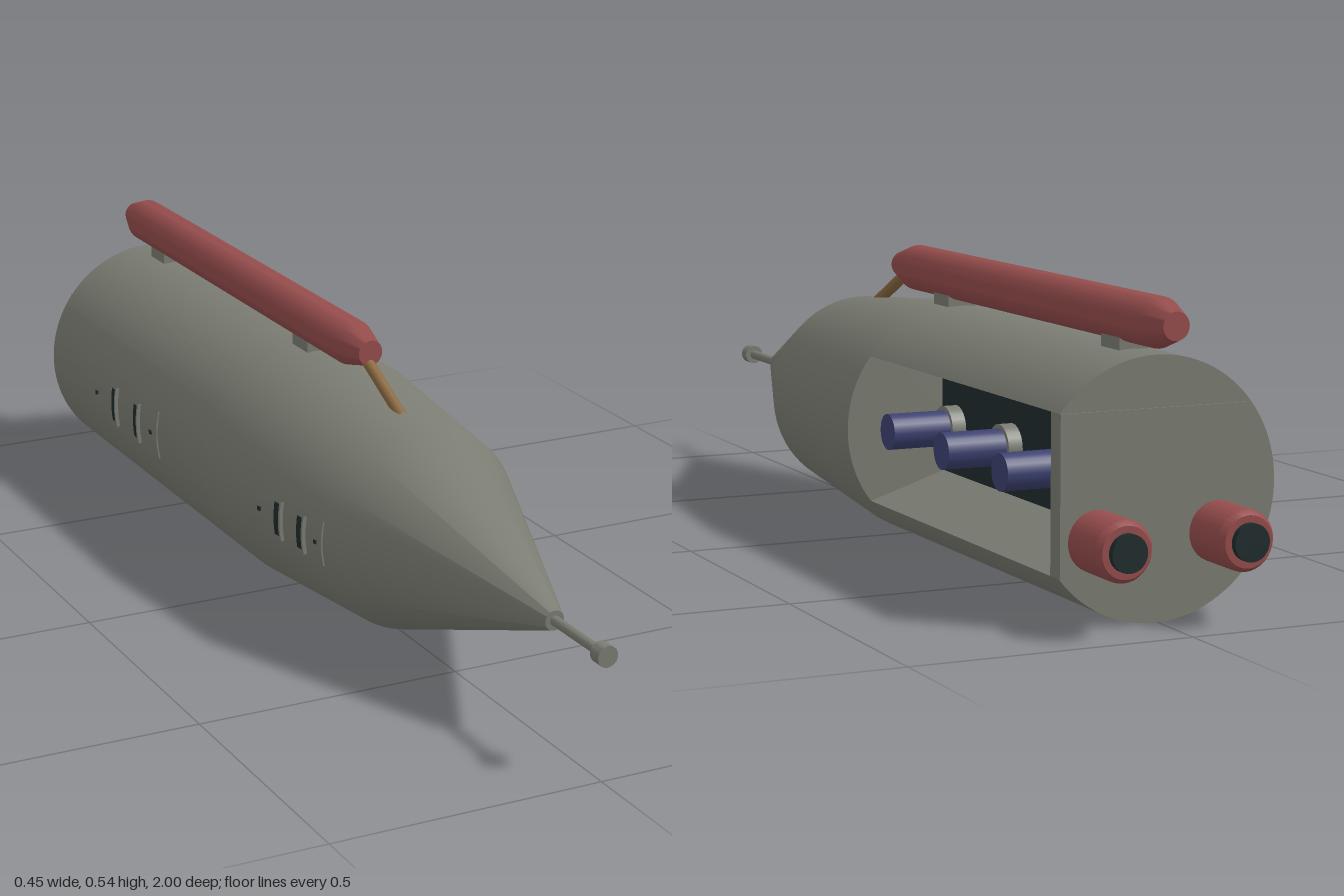
import * as THREE from 'three';
import { toCreasedNormals } from 'three/addons/utils/BufferGeometryUtils.js';

const mat = (name, color) => new THREE.MeshStandardMaterial({ name, color });

export function createModel() {
  const grey = mat('hull grey', 0x7a7c72);
  const red = mat('dull red', 0x954c4c);
  const blue = mat('deep blue', 0x3c4170);
  const dark = mat('dark panel', 0x1e2b2c);
  const brown = mat('brown pipe', 0x8a6840);

  const model = new THREE.Group();
  model.name = 'spacecraft';
  // everything is placed relative to the hull's long axis
  const craft = new THREE.Group();
  craft.name = 'craft';
  craft.position.set(0.005, 0.225, 0);
  model.add(craft);

  const add = (name, geometry, material, x = 0, y = 0, z = 0) => {
    const mesh = new THREE.Mesh(geometry, material);
    mesh.name = name;
    mesh.position.set(x, y, z);
    craft.add(mesh);
    return mesh;
  };
  // turned part along z; profile is [radius, z] with z ascending
  const turned = (profile, sides = 32, start = 0, arc = Math.PI * 2) => {
    const pts = profile.map(([r, z]) => new THREE.Vector2(r, z));
    return toCreasedNormals(new THREE.LatheGeometry(pts, sides, start, arc).rotateX(Math.PI / 2), 0.6);
  };
  const box = (w, h, d) => new THREE.BoxGeometry(w, h, d);

  const R = 0.222, cut = 0.654, chordX = R * Math.cos(cut), chordY = R * Math.sin(cut);
  const bayX = 0.025, bayY = 0.086, bayFront = -0.1, bayBack = -0.848, tail = -0.88;

  // nose and front hull
  add('frontHull', turned([[0, bayFront], [R, bayFront], [R, 0], [0.191, 0.36], [0.018, 0.83], [0, 0.83]], 96), grey);

  // rear hull with an open bay on the left side, closed by a bulkhead
  const section = (notched) => {
    const s = new THREE.Shape();
    s.absarc(0, 0, R, cut, Math.PI * 2 - cut, false);
    if (notched) {
      s.lineTo(bayX, -bayY);
      s.lineTo(bayX, bayY);
    }
    s.closePath();
    return s;
  };
  const slab = (shape, z0, z1) => toCreasedNormals(
    new THREE.ExtrudeGeometry(shape, { depth: z1 - z0, bevelEnabled: false, curveSegments: 72 }).translate(0, 0, z0), 0.5);
  add('rearHull', slab(section(true), bayBack, bayFront), grey);
  add('rearBulkhead', slab(section(false), tail, bayBack), grey);
  add('rearPlate', box(chordX * 2, chordY * 2, 0.004), grey, 0, 0, tail - 0.001);

  // bay back wall and its three instruments
  add('bayWall', box(0.006, bayY * 2, bayFront - bayBack), dark, bayX + 0.003, 0, (bayFront + bayBack) / 2);
  for (const z of [-0.165, -0.403, -0.642]) {
    const cyl = (r, l) => new THREE.CylinderGeometry(r, r, l, 24).rotateZ(Math.PI / 2);
    add('instrumentCollar', cyl(0.041, 0.03), grey, bayX + 0.018, 0.003, z);
    add('instrument', cyl(0.033, 0.12), blue, 0.11, 0.003, z);
  }

  // nose probe
  add('probe', turned([[0, 0.82], [0.009, 0.82], [0.009, 0.975], [0, 0.975]], 16), grey);
  add('probeTip', turned([[0, 0.974], [0.019, 0.974], [0.019, 1], [0, 1]], 20), grey);

  // pair of rear engines
  for (const x of [-0.113, 0.11]) {
    add('engine', turned([[0, -0.988], [0.044, -0.988], [0.052, -0.976], [0.052, -0.842], [0, -0.842]]), red, x, -0.077);
    add('engineNozzle', turned([[0, -1], [0.032, -1], [0.032, -0.985], [0, -0.985]]), dark, x, -0.077);
  }

  // tank on top with pylons and a feed pipe
  add('tank', turned([[0, -0.943], [0.024, -0.943], [0.043, -0.885], [0.043, 0.08], [0.024, 0.155], [0, 0.155]]), red, 0, 0.275);
  for (const z of [-0.085, -0.765]) add('tankPylon', box(0.054, 0.05, 0.066), grey, 0, 0.225, z);
  const run = new THREE.LineCurve3(new THREE.Vector3(0, 0.262, 0.13), new THREE.Vector3(0, 0.19, 0.28));
  add('feedPipe', new THREE.TubeGeometry(run, 1, 0.011, 16), brown);

  // curved hatches on the right side, each with two slots and rails
  const strip = (name, z0, z1, radiusAt, lift, half, material) => {
    const a = radiusAt(z0), b = radiusAt(z1), t = 0.012;
    const profile = [[a - t, z0], [a + lift, z0], [b + lift, z1], [b - t, z1]];
    add(name, turned(profile, 10, Math.PI * 1.5 - half, half * 2), material);
  };
  const hatch = (z0, z1, radiusAt) => {
    const len = z1 - z0;
    strip('hatch', z0, z1, radiusAt, 0.003, 0.22, grey);
    for (const f of [0.36, 0.7]) {
      const z = z0 + len * f;
      strip('hatchSlot', z - 0.009, z + 0.009, radiusAt, 0.007, 0.15, dark);
      strip('hatchRail', z + 0.012, z + 0.017, radiusAt, 0.01, 0.18, grey);
    }
    for (const f of [0.08, 0.92]) {
      const z = z0 + len * f;
      strip('hatchLatch', z - 0.004, z + 0.004, radiusAt, 0.006, 0.02, dark);
    }
  };
  hatch(-0.655, -0.325, () => R);
  hatch(0.11, 0.345, (z) => R - (R - 0.191) * z / 0.36);

  return model;
}
